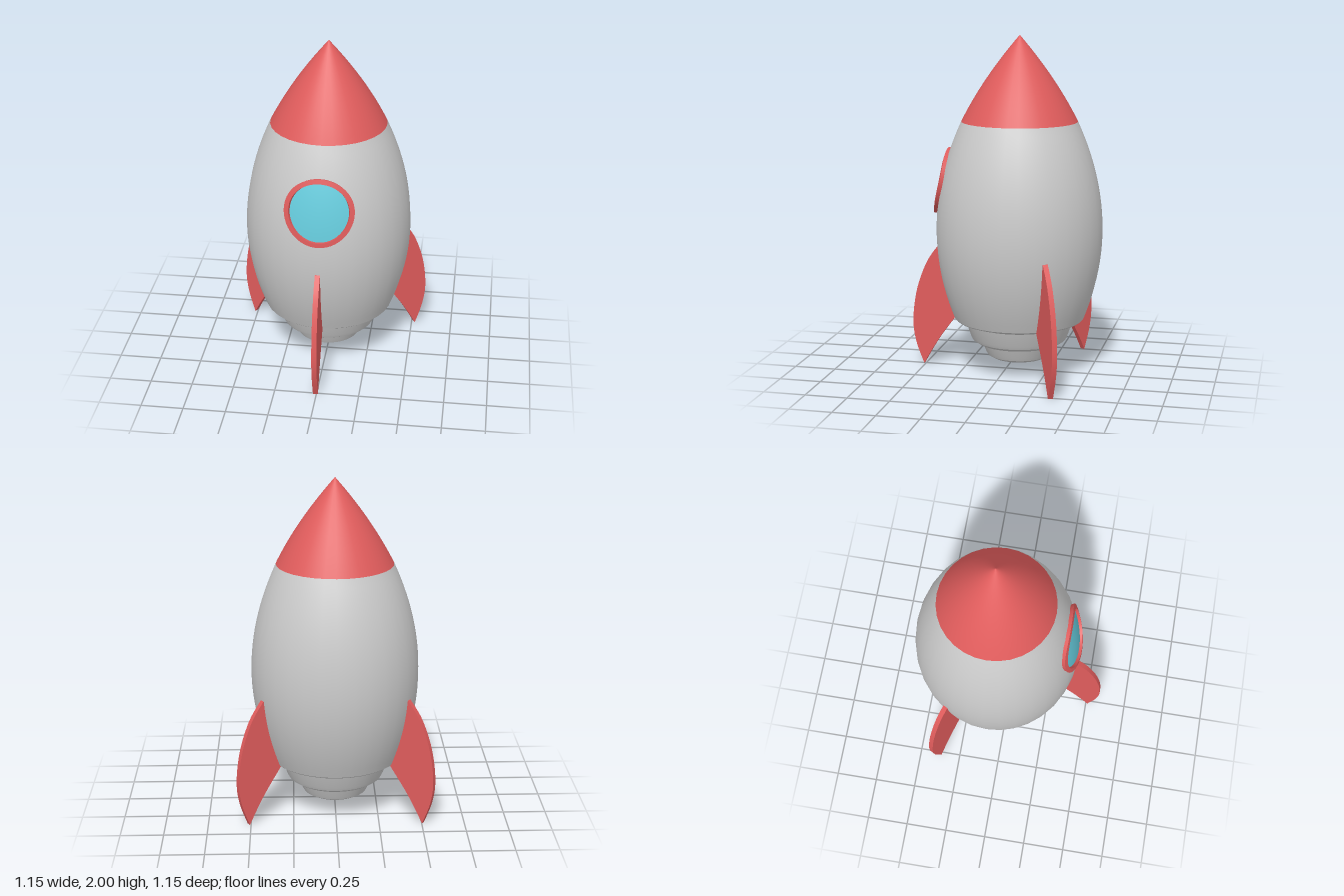
import * as THREE from 'three';
import { toCreasedNormals } from 'three/addons/utils/BufferGeometryUtils.js';

const grey = new THREE.MeshStandardMaterial({ color: 0xcccccc });
const red = new THREE.MeshStandardMaterial({ color: 0xe05c5c });
const blue = new THREE.MeshStandardMaterial({ color: 0x66ccdd });
const SIDES = 32;

// hull radius at a height: widest at y = 0.85, narrowing both ways
const hullRadius = y => 0.49 - (y > 0.85 ? 0.15 * ((y - 0.85) / 0.65) ** 2 : 0.105 * ((0.85 - y) / 0.52) ** 2);
const noseRadius = y => Math.max(0, 0.34 - 0.5 * (y - 1.5) - 0.36 * (y - 1.5) ** 2);

// points of a radius function between two heights
function profile(radius, y0, y1, steps) {
  return Array.from({ length: steps + 1 }, (_, i) => {
    const y = y0 + (y1 - y0) * i / steps;
    return new THREE.Vector2(radius(y), y);
  });
}

const points = list => list.map(([x, y]) => new THREE.Vector2(x, y));

function part(name, geometry, material) {
  const mesh = new THREE.Mesh(geometry, material);
  mesh.name = name;
  return mesh;
}

// lay a flat geometry (facing +z, z = height above the surface) onto the front of the hull
function wrapOnHull(geometry, centreY) {
  const pos = geometry.attributes.position;
  const p = new THREE.Vector3(), n = new THREE.Vector3();
  for (let i = 0; i < pos.count; i++) {
    p.fromBufferAttribute(pos, i);
    const lift = p.z, y = p.y + centreY, r = hullRadius(y);
    const slope = (hullRadius(y + 0.01) - hullRadius(y - 0.01)) / 0.02;
    const z = Math.sqrt(r * r - p.x * p.x);
    n.set(p.x / r, -slope, z / r).normalize();
    p.set(p.x, y, z).addScaledVector(n, lift);
    pos.setXYZ(i, p.x, p.y, p.z);
  }
  return toCreasedNormals(geometry, 0.6);
}

export function createModel() {
  const rocket = new THREE.Group();
  rocket.name = 'rocket';
  rocket.position.z = -0.08;

  // hull with a shallow conical underside
  const hull = [...points([[0, 0.3], [0.31, 0.3], [0.375, 0.322]]), ...profile(hullRadius, 0.33, 1.5, 24)];
  rocket.add(part('hull', toCreasedNormals(new THREE.LatheGeometry(hull, SIDES), 0.5), grey));

  // nose cone
  const nose = profile(noseRadius, 1.5, 2, 14);
  nose[nose.length - 1].x = 0;
  rocket.add(part('noseCone', new THREE.LatheGeometry(nose, SIDES), red));

  // stepped engine nozzle
  const nozzle = points([
    [0, 0.09], [0.165, 0.09], [0.19, 0.105], [0.2, 0.125], [0.222, 0.18],
    [0.255, 0.183], [0.28, 0.2], [0.29, 0.22], [0.318, 0.305],
  ]);
  rocket.add(part('nozzle', toCreasedNormals(new THREE.LatheGeometry(nozzle, SIDES), 0.5), grey));

  // round window: frame and glass follow the hull's curve
  const frame = new THREE.LatheGeometry(
    points([[0.168, -0.015], [0.194, -0.015], [0.194, 0.02], [0.168, 0.02], [0.168, -0.015]]), 48);
  frame.rotateX(Math.PI / 2);
  rocket.add(part('windowFrame', wrapOnHull(frame, 1.133), red));
  const glass = new THREE.RingGeometry(0, 0.175, 48, 6).translate(0, 0, 0.003);
  rocket.add(part('windowGlass', wrapOnHull(glass, 1.133), blue));

  // three swept fins, spaced evenly around the hull
  const outline = new THREE.Shape();
  outline.moveTo(0.35, 0.75);
  outline.lineTo(0.488, 0.75);
  outline.splineThru(points([[0.567, 0.636], [0.63, 0.466], [0.656, 0.28], [0.64, 0.14], [0.59, 0]]));
  outline.splineThru(points([[0.546, 0.08], [0.48, 0.185], [0.377, 0.325]]));
  outline.lineTo(0.35, 0.34);
  outline.closePath();
  const finGeometry = toCreasedNormals(
    new THREE.ExtrudeGeometry(outline, { depth: 0.03, bevelEnabled: false, curveSegments: 5 }), 0.5);
  finGeometry.rotateY(-Math.PI / 2).translate(0.01, 0, 0);
  ['frontFin', 'leftFin', 'rightFin'].forEach((name, i) => {
    const fin = part(name, finGeometry, red);
    fin.rotation.y = i * Math.PI * 2 / 3;
    rocket.add(fin);
  });

  const model = new THREE.Group();
  model.add(rocket);
  return model;
}
